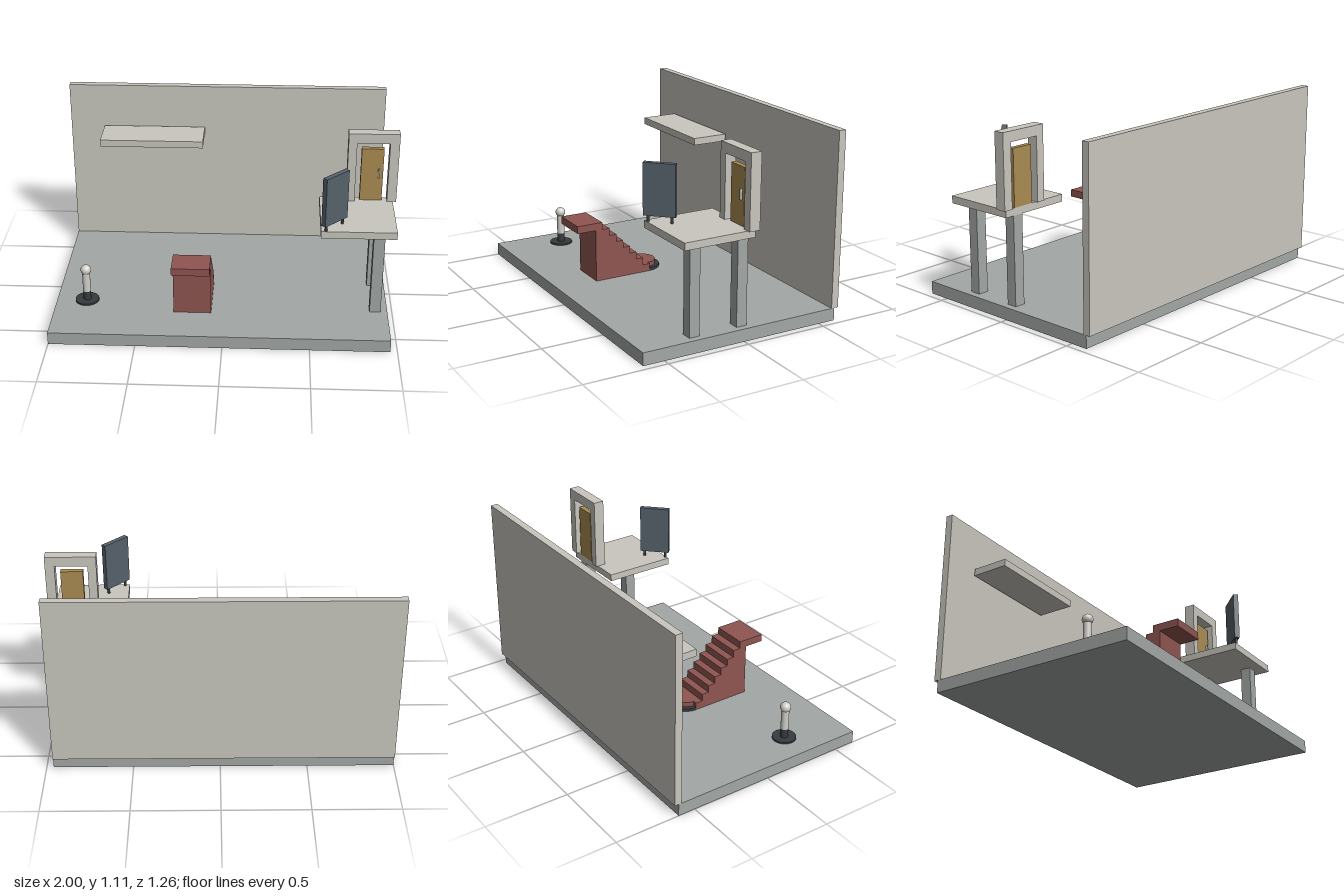
import * as THREE from 'three';

const mat = (color) => new THREE.MeshStandardMaterial({ color });

export function createModel() {
  const stone = mat(0xc8c6be), floorGrey = mat(0xa2a7a5), brick = mat(0x8f5550);
  const dark = mat(0x363b3e), slate = mat(0x56616a), wood = mat(0xaa8c52), pale = mat(0xd2d0ca);

  const model = new THREE.Group();
  model.name = 'stageSet';

  const add = (parent, name, geometry, material, x = 0, y = 0, z = 0) => {
    const mesh = new THREE.Mesh(geometry, material);
    mesh.name = name;
    mesh.position.set(x, y, z);
    parent.add(mesh);
    return mesh;
  };
  // box given by its minimum and maximum along each axis
  const box = (parent, name, material, [x0, x1], [y0, y1], [z0, z1]) =>
    add(parent, name, new THREE.BoxGeometry(x1 - x0, y1 - y0, z1 - z0), material,
      (x0 + x1) / 2, (y0 + y1) / 2, (z0 + z1) / 2);
  const group = (name) => {
    const g = new THREE.Group();
    g.name = name;
    model.add(g);
    return g;
  };

  const ground = 0.075;

  // floor, back wall and wall shelf
  box(model, 'floor', floorGrey, [-1, 0.96], [0, ground], [-0.605, 0.63]);
  box(model, 'backWall', stone, [-1, 0.96], [ground, 1.11], [-0.63, -0.586]);
  box(model, 'wallShelf', stone, [-0.79, -0.16], [0.8, 0.843], [-0.575, -0.35]);

  // balcony on two posts
  const balcony = group('balcony');
  const deck = 0.643;
  box(balcony, 'deck', stone, [0.55, 0.98], [0.6, deck], [-0.04, 0.395]);
  for (const z of [-0.004, 0.295])
    box(balcony, 'post', floorGrey, [0.855, 0.92], [ground, 0.6], [z - 0.032, z + 0.032]);

  // doorway: frame with an open bottom, door and handle
  const doorway = group('doorway');
  const frame = new THREE.Shape([
    [0.705, deck], [0.755, deck], [0.755, 1.015], [0.945, 1.015],
    [0.945, deck], [1, deck], [1, 1.075], [0.705, 1.075],
  ].map(([x, y]) => new THREE.Vector2(x, y)));
  add(doorway, 'doorFrame',
    new THREE.ExtrudeGeometry(frame, { depth: 0.065, bevelEnabled: false }), stone, 0, 0, -0.055);
  box(doorway, 'door', wood, [0.785, 0.915], [deck, 0.973], [-0.04, -0.008]);
  box(doorway, 'doorHandle', pale, [0.885, 0.894], [0.79, 0.85], [-0.008, 0.006]);

  // angled panel on two short feet
  const panel = group('panelStand');
  panel.position.set(0.625, deck, 0.34);
  panel.rotation.y = Math.PI / 4;
  box(panel, 'panel', slate, [-0.091, 0.091], [0.037, 0.334], [-0.0155, 0.0155]);
  for (const x of [-0.067, 0.067])
    add(panel, 'foot', new THREE.CylinderGeometry(0.008, 0.008, 0.037, 16), dark, x, 0.0185, 0);

  // staircase: one side profile across the full width
  const stairs = group('staircase');
  const x0 = -0.295, x1 = -0.075, xMid = (x0 + x1) / 2;
  const rise = 0.0455, run = 0.0453, zStart = 0.013;
  const profile = new THREE.Shape();
  profile.moveTo(zStart, ground);
  for (let i = 0; i < 7; i++) {
    const z = zStart + i * run;
    profile.lineTo(z, ground + (i + 1) * rise);
    profile.lineTo(i < 6 ? z + run : 0.377, ground + (i + 1) * rise);
  }
  profile.lineTo(0.377, ground);
  const flight = add(stairs, 'flight',
    new THREE.ExtrudeGeometry(profile, { depth: x1 - x0, bevelEnabled: false }), brick, x1, 0, 0);
  flight.rotation.y = -Math.PI / 2;
  box(stairs, 'topLanding', brick, [x0, x1], [0.393, 0.438], [0.333, 0.495]);

  // rounded bottom step with a dark lower tread
  const halfRound = (name, material, r, y0, y1) =>
    add(stairs, name, new THREE.CylinderGeometry(r, r, y1 - y0, 32, 1, false, Math.PI / 2, Math.PI),
      material, xMid, (y0 + y1) / 2, zStart);
  halfRound('lowerTread', dark, 0.11, ground, 0.092);
  halfRound('roundedStep', brick, 0.085, 0.092, ground + rise);

  // ball-topped bollard
  const bollard = group('bollard');
  bollard.position.set(-0.82, ground, 0.26);
  const disc = (name, material, r, y0, y1) =>
    add(bollard, name, new THREE.CylinderGeometry(r, r, y1 - y0, 40), material, 0, (y0 + y1) / 2, 0);
  disc('bollardBase', dark, 0.07, 0, 0.01);
  disc('bollardCollar', dark, 0.023, 0.01, 0.065);
  disc('bollardShaft', pale, 0.023, 0.065, 0.185);
  add(bollard, 'bollardBall', new THREE.SphereGeometry(0.031, 32, 20), pale, 0, 0.206, 0);

  return model;
}
